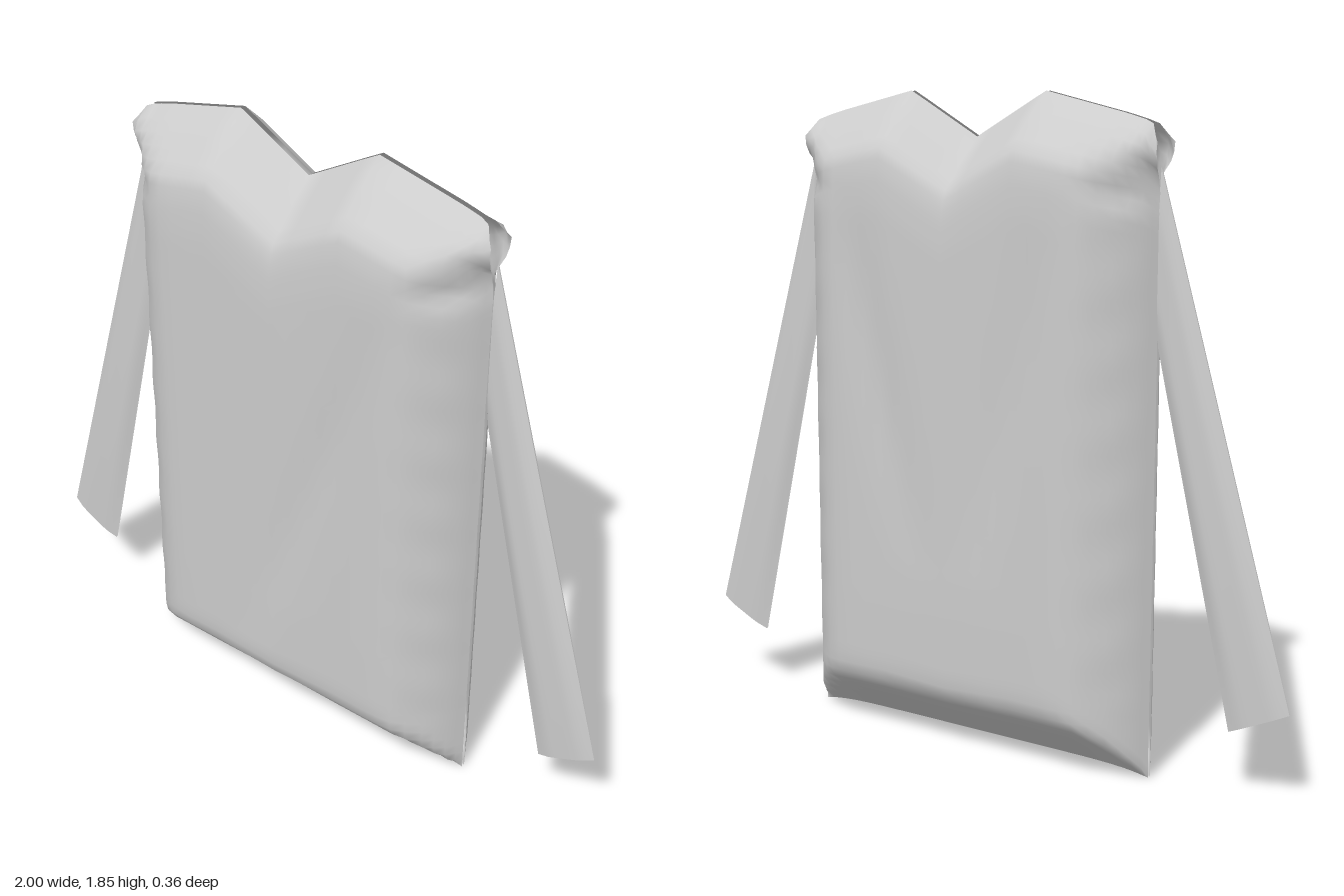
import * as THREE from 'three';

const cloth = new THREE.MeshStandardMaterial({ color: 0xcccccc, side: THREE.DoubleSide });
cloth.name = 'plain grey cloth';

// piecewise linear lookup through [input, output] pairs
function lookup(points, t) {
  if (t <= points[0][0]) return points[0][1];
  for (let i = 1; i < points.length; i++) {
    const [a, p] = points[i - 1], [b, q] = points[i];
    if (t <= b) return p + (q - p) * (t - a) / (b - a);
  }
  return points[points.length - 1][1];
}

function smoothMin(a, b, k = 0.025) {
  const h = Math.max(k - Math.abs(a - b), 0) / k;
  return Math.min(a, b) - h * h * k * 0.25;
}

// grid surface from point(row, column); flip reverses the facing
function sheet(rows, cols, point, flip) {
  const pos = [], idx = [];
  for (let r = 0; r < rows; r++) for (let c = 0; c < cols; c++) pos.push(...point(r, c));
  for (let r = 0; r < rows - 1; r++) for (let c = 0; c < cols - 1; c++) {
    const a = r * cols + c, b = a + 1, d = a + cols, e = d + 1;
    if (flip) idx.push(a, e, b, a, d, e);
    else idx.push(a, b, e, a, e, d);
  }
  const g = new THREE.BufferGeometry();
  g.setAttribute('position', new THREE.Float32BufferAttribute(pos, 3));
  g.setIndex(idx);
  g.computeVertexNormals();
  return g;
}

// outlines: neckline and shoulders, side edge
const topLine = [[0, 1.725], [0.23, 1.85], [0.5, 1.79], [0.57, 1.77], [0.6, 1.72]];
const sideLine = [[0, 0.58], [1.2, 0.588], [1.56, 0.591], [1.61, 0.584], [1.66, 0.596], [1.72, 0.602]];
// puffed depth by distance from the side seam, the hem and the top edge
const sidePuff = [[0, 0.006], [0.03, 0.058], [0.09, 0.123], [0.16, 0.167], [0.23, 0.18], [0.6, 0.181]];
const hemPuff = [[0, 0.006], [0.14, 0.168], [0.2, 0.185], [0.4, 0.192], [2, 0.2]];
const topPuff = [[0, 0.008], [0.06, 0.075], [0.15, 0.16], [0.22, 0.178], [0.32, 0.19], [2, 0.2]];

const half = [0.06, 0.12, 0.18, 0.23, 0.29, 0.35, 0.4, 0.44, 0.48, 0.52, 0.545, 0.57, 0.588, 0.6].map(x => x / 0.6);
const columns = [...half.map(u => -u).reverse(), 0, ...half];
const ROWS = 61;

// soft valley along a slanted line from (x0, y0) to (x1, y1)
function fold(x, y, x0, y0, x1, y1, width) {
  const t = (y - y0) / (y1 - y0);
  if (t < 0 || t > 1) return 0;
  const d = (x - x0 - (x1 - x0) * t) / width;
  return Math.exp(-d * d) * Math.sin(Math.PI * t);
}

function bodyPoint(side, r, c) {
  const u = columns[c], v = r / (ROWS - 1);
  const halfWidth = lookup(sideLine, 0.012 + v * 1.708);
  const x = u * halfWidth;
  const top = lookup(topLine, Math.abs(x));
  const hem = 0.016 * (1 - Math.pow(Math.abs(u), 8));
  const y = hem + v * (top - hem);
  const edge = halfWidth - Math.abs(x);

  // puffed panel, pinched to the seams
  let z = smoothMin(lookup(sidePuff, edge), lookup(hemPuff, y - hem));
  z = smoothMin(z, lookup(topPuff, top - y));

  // folds and faint puckers beside the seam
  if (side > 0) z -= 0.014 * fold(x, y, 0.4, 1.6, -0.1, 0.2, 0.07);
  else z -= 0.014 * (fold(x, y, 0.4, 1.75, 0.1, 0.5, 0.07) + fold(x, y, -0.4, 1.75, -0.1, 0.5, 0.07));
  if (y > 0.2 && y < 1.55) {
    z += 0.002 * Math.exp(-Math.pow((edge - 0.08) / 0.05, 2)) * Math.sin(y * 32 + x * 20);
  }
  // crease under the shoulder
  z -= 0.025 * Math.exp(-Math.pow((y - 1.59) / 0.03, 2) - Math.pow((edge - 0.07) / 0.06, 2));
  z = Math.max(z, 0.005);

  // armhole held open between the panels
  if (y > 1.63 && y < 1.79) {
    z += 0.04 * Math.sin(Math.PI * (y - 1.63) / 0.16) * Math.max(0, 1 - edge / 0.05);
  }
  return [x, y, side * z];
}

// flat sleeve layer between its upper and lower edge lines
function sleevePoint(dir, side, r, c) {
  const t = r / 24, s = c / 10;
  const outer = [0.588 + 0.412 * t, 1.655 - 1.395 * t];
  const inner = [0.586 + 0.236 * t, 1.185 - 1.005 * t];
  const x = inner[0] + (outer[0] - inner[0]) * s;
  const y = inner[1] + (outer[1] - inner[1]) * s;
  const puff = 0.018 * Math.min(1, 1.5 * Math.sin(Math.PI * s)) * (0.55 + 0.45 * Math.sin(Math.PI * t));
  const drift = dir > 0 ? -0.014 : 0.003;
  return [dir * x, y, drift + side * (puff + 0.002)];
}

export function createModel() {
  const model = new THREE.Group();
  model.name = 'longSleevedShirt';
  const add = (name, geometry) => {
    const mesh = new THREE.Mesh(geometry, cloth);
    mesh.name = name;
    model.add(mesh);
  };

  for (const side of [1, -1]) {
    const face = side > 0 ? 'front' : 'back';
    add(face + 'Panel', sheet(ROWS, columns.length, (r, c) => bodyPoint(side, r, c), side < 0));
    for (const dir of [1, -1]) {
      add((dir > 0 ? 'left' : 'right') + 'Sleeve' + (side > 0 ? 'Front' : 'Back'),
        sheet(25, 11, (r, c) => sleevePoint(dir, side, r, c), dir * side > 0));
    }
  }
  return model;
}
